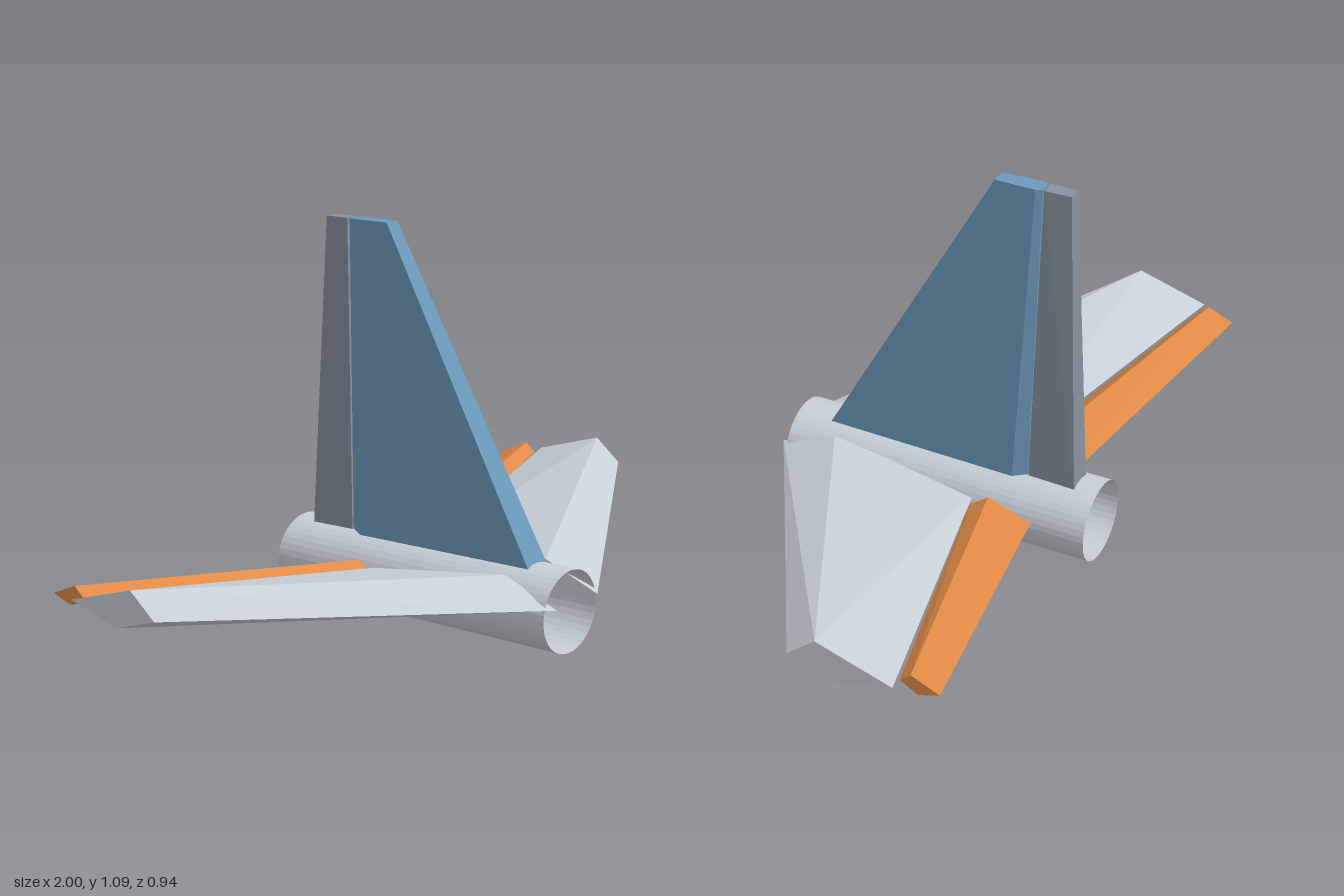
import * as THREE from 'three';
import { ConvexGeometry } from 'three/addons/geometries/ConvexGeometry.js';

const mat = (name, color, side = THREE.FrontSide) =>
  Object.assign(new THREE.MeshStandardMaterial({ color, side, flatShading: true }), { name });

// Solid panel spanning two end sections, each a list of [x, y, z] corners
function panel(name, material, root, tip) {
  const points = [...root, ...tip].map(p => new THREE.Vector3(...p));
  const mesh = new THREE.Mesh(new ConvexGeometry(points), material);
  mesh.name = name;
  return mesh;
}

// Diamond section at a given x: [y, z] corners
const rib = (x, corners) => corners.map(([y, z]) => [x, y, z]);

// Level section at height y: [half width, z] stations mirrored across x = 0
const level = (y, stations) => stations.flatMap(([w, z]) => [[w, y, z], [-w, y, z]]);

export function createModel() {
  const group = new THREE.Group();
  const silver = mat('silver', 0xc8d0d8);
  const silverShell = mat('silver shell', 0xc8d0d8, THREE.DoubleSide);
  const blue = mat('blue', 0x6b99ba);
  const grey = mat('grey', 0x87919d);
  const orange = mat('orange', 0xe08a45);

  // Open tail tube, slightly wider than tall
  const tubeGeo = new THREE.CylinderGeometry(1, 1, 0.915, 40, 1, true);
  tubeGeo.rotateX(Math.PI / 2).scale(0.119, 0.1125, 1).translate(0, 0.1125, -0.0125);
  const tube = new THREE.Mesh(tubeGeo, silverShell);
  tube.name = 'fuselageTube';
  group.add(tube);

  for (const [label, s] of [['left', 1], ['right', -1]]) {
    // Swept stabilizer: leading edge, ridge, trailing edge, keel
    group.add(panel(label + 'Stabilizer', silver,
      rib(s * 0.092, [[0.143, 0.468], [0.208, 0.3], [0.148, -0.13], [0.105, 0.185]]),
      rib(s * 1.0, [[0.235, -0.077], [0.3, -0.157], [0.236, -0.367], [0.193, -0.21]])));
    // Elevator behind it
    group.add(panel(label + 'Elevator', orange,
      rib(s * 0.1, [[0.13, -0.128], [0.163, -0.18], [0.128, -0.312], [0.108, -0.212]]),
      rib(s * 0.96, [[0.23, -0.365], [0.256, -0.395], [0.223, -0.473], [0.203, -0.415]])));
  }

  // Upright fin, widest just ahead of its trailing edge
  group.add(panel('fin', blue,
    level(0.197, [[0.042, 0.35], [0.052, -0.225], [0.034, -0.264]]),
    level(1.085, [[0.023, -0.15], [0.026, -0.265], [0.018, -0.283]])));

  // Rudder
  group.add(panel('rudder', grey,
    level(0.197, [[0.036, -0.267], [0.04, -0.406]]),
    level(1.085, [[0.022, -0.288], [0.02, -0.363]])));

  return group;
}
